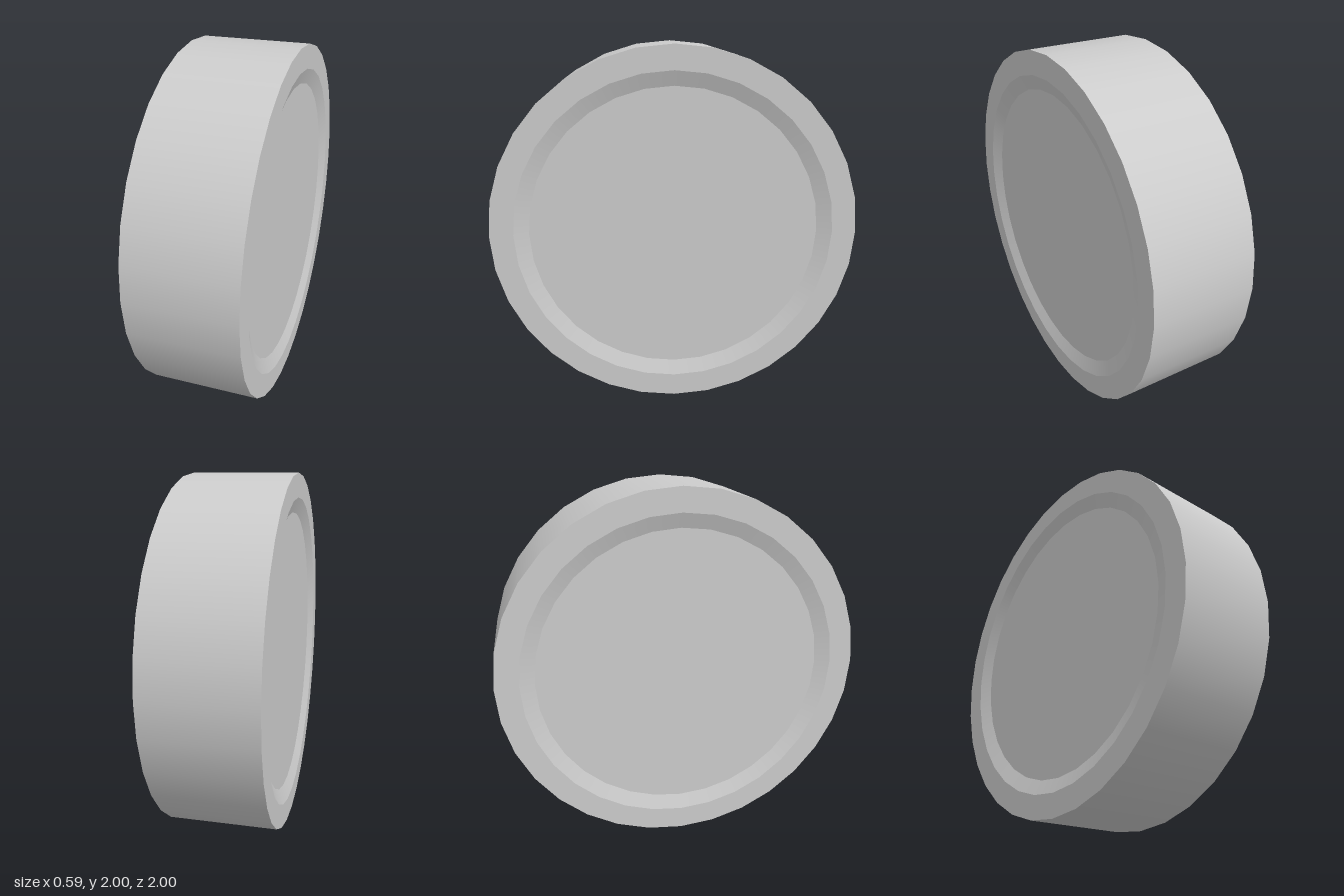
import * as THREE from 'three';

const SIDES = 32;
const RADIUS = 1, HALF_WIDTH = 0.295;
const RECESS_OUTER = 0.87, RECESS_INNER = 0.79, RECESS_DEPTH = 0.03;

export function createModel() {
  const model = new THREE.Group();
  model.name = 'disc';
  const material = new THREE.MeshStandardMaterial({ color: 0xcccccc });

  // One revolved band around the x axis; separate bands keep their edges sharp
  function addBand(parent, name, from, to) {
    const geometry = new THREE.LatheGeometry(
      [new THREE.Vector2(...from), new THREE.Vector2(...to)], SIDES);
    geometry.rotateZ(-Math.PI / 2);
    const mesh = new THREE.Mesh(geometry, material);
    mesh.name = name;
    parent.add(mesh);
  }

  // Outer wall
  addBand(model, 'outerWall', [RADIUS, -HALF_WIDTH], [RADIUS, HALF_WIDTH]);

  // Both ends: flat rim, sloped bevel and shallow recessed floor
  for (const side of [1, -1]) {
    const end = new THREE.Group();
    end.name = side > 0 ? 'leftEnd' : 'rightEnd';
    const floorX = HALF_WIDTH - RECESS_DEPTH;
    addBand(end, 'rim', [RADIUS, HALF_WIDTH], [RECESS_OUTER, HALF_WIDTH]);
    addBand(end, 'bevel', [RECESS_OUTER, HALF_WIDTH], [RECESS_INNER, floorX]);
    addBand(end, 'floor', [RECESS_INNER, floorX], [0, floorX]);
    if (side < 0) end.rotation.y = Math.PI;
    model.add(end);
  }

  // Stand the disc on the ground
  for (const part of model.children) part.position.y = RADIUS;
  return model;
}
